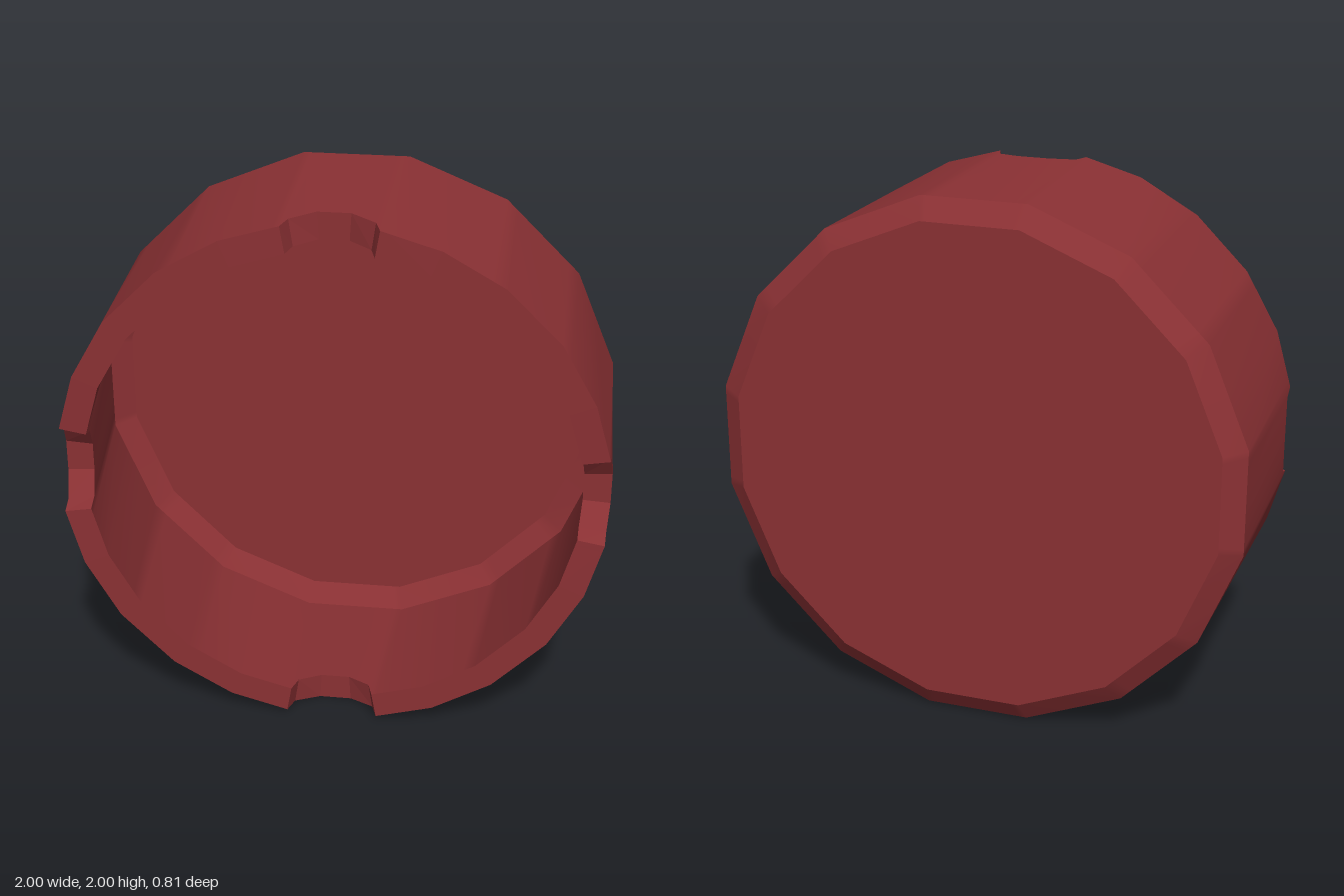
import * as THREE from 'three';

const RAD = Math.PI / 180;
// one quadrant of the rim: angle in degrees and height of its front edge
const RIM = [[-9.8, 0.4], [-8.6, 0.335], [-3.4, 0.28], [3.4, 0.28], [8.6, 0.335], [9.8, 0.4],
  [22.5, 0.405], [37, 0.405], [53, 0.405], [67.5, 0.405], [80.2, 0.4]];
// corner angles of the 16-sided back
const BACK = [-11.25, 11.25, 33.75, 56.25, 78.75, 101.25];
const ANGLES = [...new Set([...RIM.slice(0, -1).map(p => p[0]), ...BACK.slice(1, -1)])].sort((a, b) => a - b);

// unit radius of a polygon with the given corner angles, at angle t
function chord(corners, t) {
  let i = 0;
  while (i < corners.length - 2 && t >= corners[i + 1]) i++;
  const a = corners[i], b = corners[i + 1];
  return Math.cos((b - a) / 2 * RAD) / Math.cos((t - (a + b) / 2) * RAD);
}

function rimHeight(t) {
  let i = 0;
  while (i < RIM.length - 2 && t >= RIM[i + 1][0]) i++;
  const [a, za] = RIM[i], [b, zb] = RIM[i + 1];
  return za + (zb - za) * (t - a) / (b - a);
}

// closed loop of points; height may be a number or a rule
function loop(radius, corners, height) {
  const pts = [];
  for (let q = 0; q < 4; q++) {
    for (const t of ANGLES) {
      const r = radius * chord(corners, t), a = (t + q * 90) * RAD;
      pts.push([r * Math.cos(a), r * Math.sin(a), typeof height === 'number' ? height : height(t)]);
    }
  }
  return pts;
}

// band of faces joining two loops
function strip(a, b, flat = false) {
  const n = a.length, index = [];
  for (let i = 0; i < n; i++) {
    const j = (i + 1) % n;
    index.push(i, j, n + i, j, n + j, n + i);
  }
  let g = new THREE.BufferGeometry();
  g.setAttribute('position', new THREE.Float32BufferAttribute([...a, ...b].flat(), 3));
  g.setIndex(index);
  if (flat) g = g.toNonIndexed();
  g.computeVertexNormals();
  return g;
}

export function createModel() {
  const group = new THREE.Group();
  group.name = 'notchedDish';
  const red = new THREE.MeshStandardMaterial({ color: 0x8b3134 });
  red.name = 'darkRed';
  const add = (name, geometry) => {
    const mesh = new THREE.Mesh(geometry, red);
    mesh.name = name;
    mesh.position.y = 1;
    group.add(mesh);
  };

  const rimCorners = RIM.map(p => p[0]);
  const rimOuter = loop(1, rimCorners, rimHeight);
  const rimInner = loop(0.9, rimCorners, rimHeight);
  const wallEnd = loop(1.01, BACK, -0.355);
  const backEdge = loop(0.93, BACK, -0.408);
  const backCentre = loop(0, BACK, -0.408);
  const innerEnd = loop(1.0, BACK, -0.35);
  const floorEdge = loop(0.92, BACK, -0.4);
  const floorCentre = loop(0, BACK, -0.4);

  // outside
  add('outerWall', strip(wallEnd, rimOuter));
  add('outerChamfer', strip(backEdge, wallEnd));
  add('back', strip(backCentre, backEdge));
  // front edge with its four notches
  add('notchedRim', strip(rimOuter, rimInner, true));
  // inside
  add('innerWall', strip(rimInner, innerEnd));
  add('innerChamfer', strip(innerEnd, floorEdge));
  add('floor', strip(floorEdge, floorCentre));
  return group;
}
